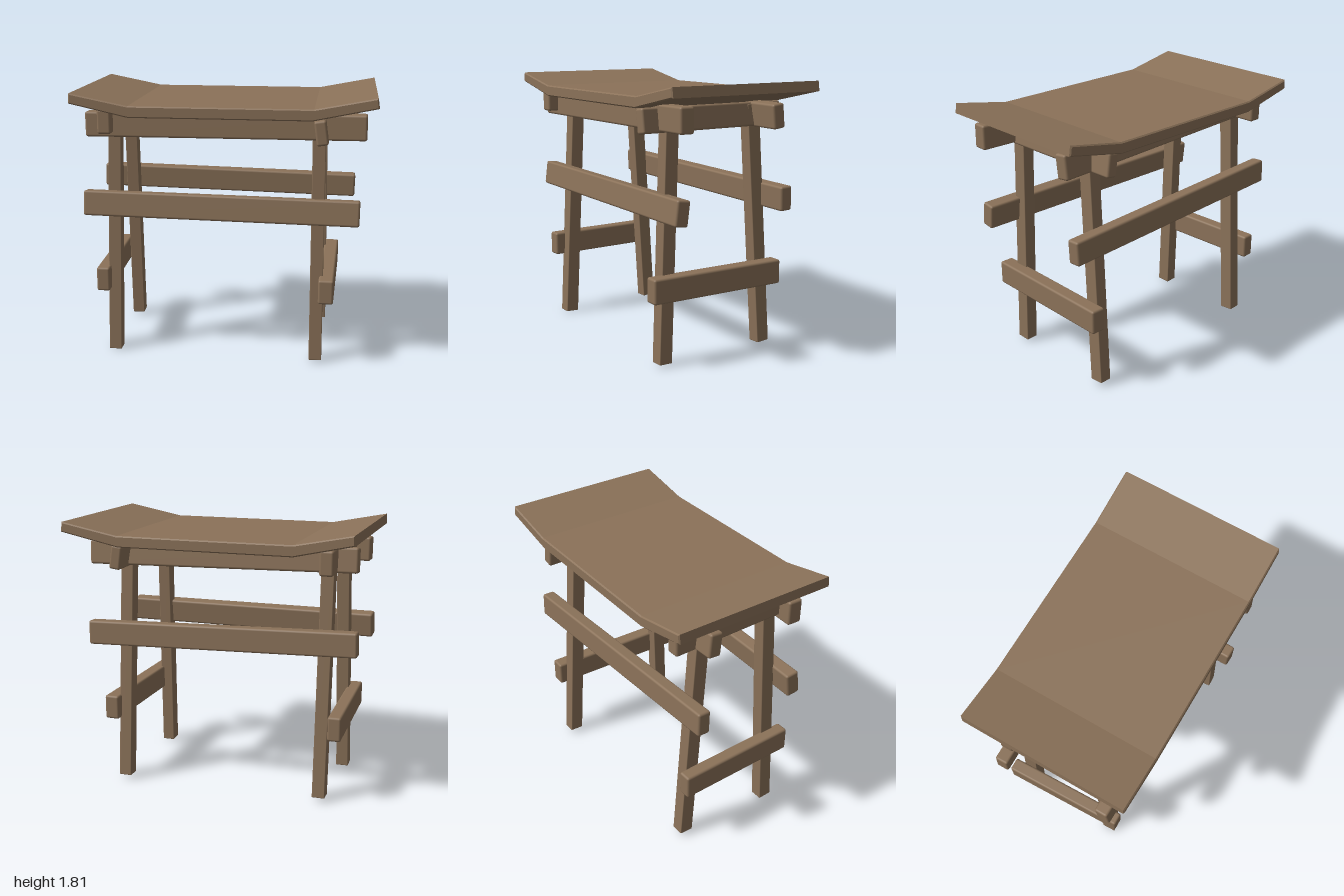
import * as THREE from 'three';
import { toCreasedNormals } from 'three/addons/utils/BufferGeometryUtils.js';
import { RoundedBoxGeometry } from 'three/addons/geometries/RoundedBoxGeometry.js';

const wood = new THREE.MeshStandardMaterial({ name: 'brown wood', color: 0x8b7259 });

// A straight timber running from point a to point b, rolled about its own length
function timber(name, a, b, width, height, roll = 0, radius = 0.015, up = [0, 1, 0]) {
  const start = new THREE.Vector3(...a), end = new THREE.Vector3(...b);
  const geometry = new RoundedBoxGeometry(width, height, start.distanceTo(end), 2, radius);
  const mesh = new THREE.Mesh(geometry, wood);
  mesh.name = name;
  mesh.up.set(...up);
  mesh.position.copy(start).add(end).multiplyScalar(0.5);
  mesh.lookAt(end);
  mesh.rotateZ(roll);
  return mesh;
}

// Seat plank: flat middle with upturned ends, extruded front to back
function seat() {
  const bevel = 0.008;
  const outline = [
    [-0.98, 1.815], [-0.6, 1.74], [0.58, 1.74], [0.97, 1.815],
    [0.98, 1.75], [0.57, 1.665], [-0.6, 1.665], [-0.985, 1.75],
  ].map(([x, y]) => new THREE.Vector2(x, y));
  const geometry = new THREE.ExtrudeGeometry(new THREE.Shape(outline), {
    depth: 1.13 - 2 * bevel, bevelEnabled: true, bevelSegments: 1,
    bevelThickness: bevel, bevelSize: bevel, bevelOffset: -bevel,
  });
  geometry.translate(0, 0, -0.565 + bevel);
  const mesh = new THREE.Mesh(toCreasedNormals(geometry, 0.1), wood);
  mesh.name = 'seat';
  mesh.rotation.y = -0.031;
  return mesh;
}

export function createModel() {
  const group = new THREE.Group();
  group.name = 'stool';
  group.add(seat());

  // Splayed legs, foot to top
  const legs = [
    ['frontLeftLeg', [0.602, 0.02, 0.41], [0.598, 1.66, 0.355]],
    ['frontRightLeg', [-0.785, 0.007, 0.305], [-0.757, 1.66, 0.235]],
    ['backLeftLeg', [0.632, 0.03, -0.382], [0.612, 1.66, -0.276]],
    ['backRightLeg', [-0.747, 0.03, -0.375], [-0.755, 1.66, -0.275]],
  ];
  for (const [name, foot, top] of legs) {
    group.add(timber(name, foot, top, 0.086, 0.096, 0, 0.005, [0, 0, 1]));
  }

  // Long beams below the seat and long rails at mid height
  group.add(
    timber('frontBeam', [-0.93, 1.595, 0.335], [0.9, 1.61, 0.437], 0.1, 0.165),
    timber('backBeam', [-0.95, 1.62, -0.31], [0.87, 1.592, -0.31], 0.09, 0.162, 0.11),
    timber('frontRail', [-0.96, 1.06, 0.345], [0.87, 1.046, 0.445], 0.095, 0.168, -0.12),
    timber('backRail', [-0.975, 1.098, -0.4], [0.865, 1.051, -0.393], 0.09, 0.163, 0.04),
  );

  // Short cross beams under the seat and low side stretchers
  group.add(
    timber('leftCrossBeam', [0.625, 1.59, -0.505], [0.609, 1.59, 0.585], 0.076, 0.158, 0.14),
    timber('rightCrossBeam', [-0.775, 1.62, -0.5], [-0.79, 1.625, 0.47], 0.09, 0.16),
    timber('leftStretcher', [0.709, 0.532, -0.45], [0.661, 0.532, 0.54], 0.1, 0.165),
    timber('rightStretcher', [-0.845, 0.532, -0.45], [-0.845, 0.532, 0.4], 0.09, 0.165),
  );
  return group;
}
